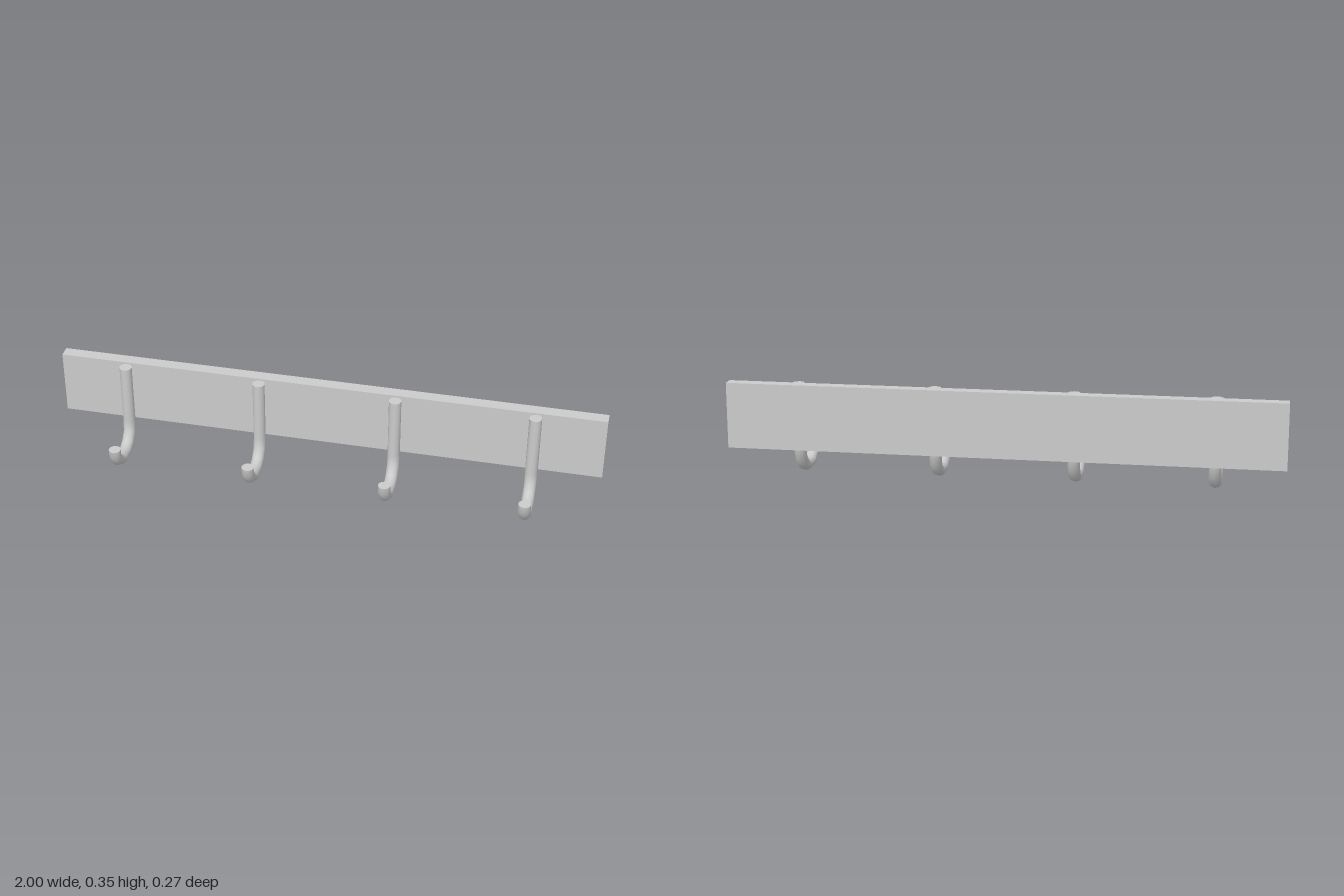
import * as THREE from 'three';

const SIDES = 12;
const RADIUS = 0.0225;

// Hook cross-sections: [outer z, outer y, inner z, inner y], from the top to the tip
const SECTIONS = [
  [-0.089, 0.347, -0.043, 0.347],
  [-0.089, 0.115, -0.044, 0.12],
  [-0.077, 0.057, -0.04, 0.08],
  [-0.039, 0.016, -0.018, 0.054],
  [0.003, 0.002, 0.007, 0.044],
  [0.06, 0.002, 0.051, 0.044],
  [0.107, 0.029, 0.082, 0.062],
  [0.131, 0.071, 0.094, 0.084],
  [0.135, 0.103, 0.09, 0.103],
];

function hookGeometry() {
  const positions = [], index = [];
  const addRing = ([oz, oy, iz, iy]) => {
    const start = positions.length / 3;
    for (let j = 0; j < SIDES; j++) {
      const t = (j / SIDES) * Math.PI * 2, c = Math.cos(t);
      positions.push(
        RADIUS * Math.sin(t),
        (oy + iy) / 2 + ((iy - oy) / 2) * c,
        (oz + iz) / 2 + ((iz - oz) / 2) * c);
    }
    return start;
  };

  // Bent rod wall
  const rings = SECTIONS.map(addRing);
  for (let i = 0; i < rings.length - 1; i++) {
    for (let j = 0; j < SIDES; j++) {
      const k = (j + 1) % SIDES;
      const a = rings[i] + j, b = rings[i] + k, c = rings[i + 1] + j, d = rings[i + 1] + k;
      index.push(a, c, b, b, c, d);
    }
  }

  // Flat end caps with their own vertices for crisp edges
  const top = addRing(SECTIONS[0]);
  const tip = addRing(SECTIONS[SECTIONS.length - 1]);
  for (let j = 1; j < SIDES - 1; j++) {
    index.push(top, top + j, top + j + 1);
    index.push(tip, tip + j + 1, tip + j);
  }

  const geometry = new THREE.BufferGeometry();
  geometry.setAttribute('position', new THREE.Float32BufferAttribute(positions, 3));
  geometry.setIndex(index);
  geometry.computeVertexNormals();
  return geometry;
}

export function createModel() {
  const group = new THREE.Group();
  group.name = 'hookRail';
  const material = new THREE.MeshStandardMaterial({ color: 0xcccccc });

  // Wall board
  const board = new THREE.Mesh(new THREE.BoxGeometry(2, 0.24, 0.045), material);
  board.name = 'board';
  board.position.set(0, 0.2325, -0.112);
  group.add(board);

  // Four evenly spaced hooks
  const geometry = hookGeometry();
  for (let i = 0; i < 4; i++) {
    const hook = new THREE.Mesh(geometry, material);
    hook.name = `hook${i + 1}`;
    hook.position.x = -0.75 + i * 0.5;
    group.add(hook);
  }
  return group;
}
